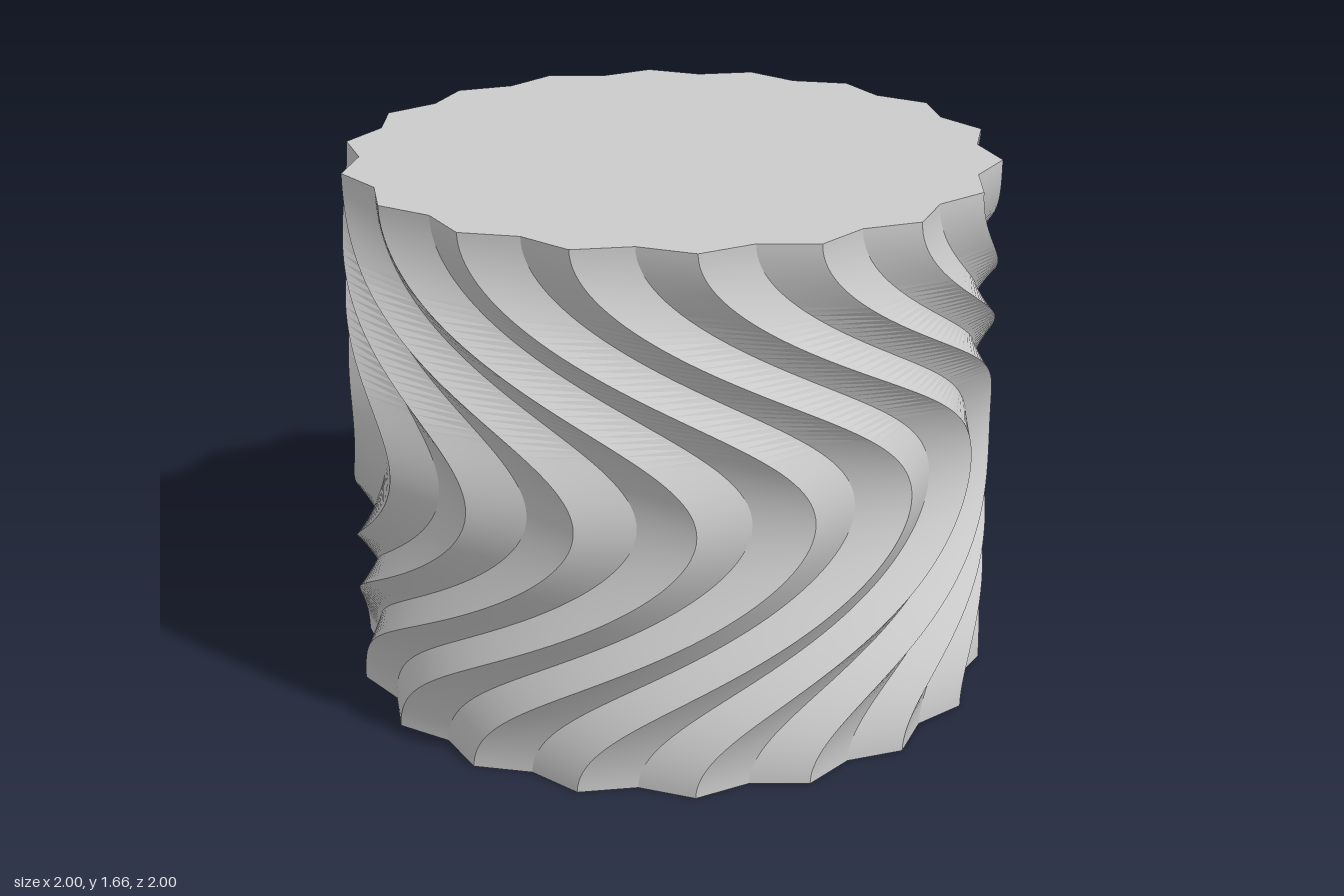
import * as THREE from 'three';
import { toCreasedNormals } from 'three/addons/utils/BufferGeometryUtils.js';

const HEIGHT = 1.665;
const RIDGES = 18;
const TIP_RADIUS = 1;
const VALLEY_RADIUS = 0.94;
const TWIST = THREE.MathUtils.degToRad(60);
const PHASE = THREE.MathUtils.degToRad(5);

// Zigzag outline: ridge tips alternate with shallow valleys
function outline() {
  const points = [];
  for (let i = 0; i < RIDGES * 2; i++) {
    const r = i % 2 ? VALLEY_RADIUS : TIP_RADIUS;
    const a = PHASE - Math.PI / 2 + (i * Math.PI) / RIDGES;
    points.push(new THREE.Vector2(r * Math.cos(a), r * Math.sin(a)));
  }
  return new THREE.Shape(points);
}

export function createModel() {
  const geometry = new THREE.ExtrudeGeometry(outline(), {
    depth: HEIGHT, steps: 96, bevelEnabled: false,
  });
  geometry.rotateX(-Math.PI / 2);

  // Twist eases out to mid height and back again to the top
  const pos = geometry.attributes.position;
  const v = new THREE.Vector3();
  const up = new THREE.Vector3(0, 1, 0);
  for (let i = 0; i < pos.count; i++) {
    v.fromBufferAttribute(pos, i);
    const turn = (TWIST * (1 - Math.cos((2 * Math.PI * v.y) / HEIGHT))) / 2;
    v.applyAxisAngle(up, turn);
    pos.setXYZ(i, v.x, v.y, v.z);
  }

  const body = new THREE.Mesh(
    toCreasedNormals(geometry, 0.25),
    new THREE.MeshStandardMaterial({ color: 0xcccccc })
  );
  body.name = 'twistedRidgedBody';

  const group = new THREE.Group();
  group.name = 'twistedRidgedCylinder';
  group.add(body);
  return group;
}
